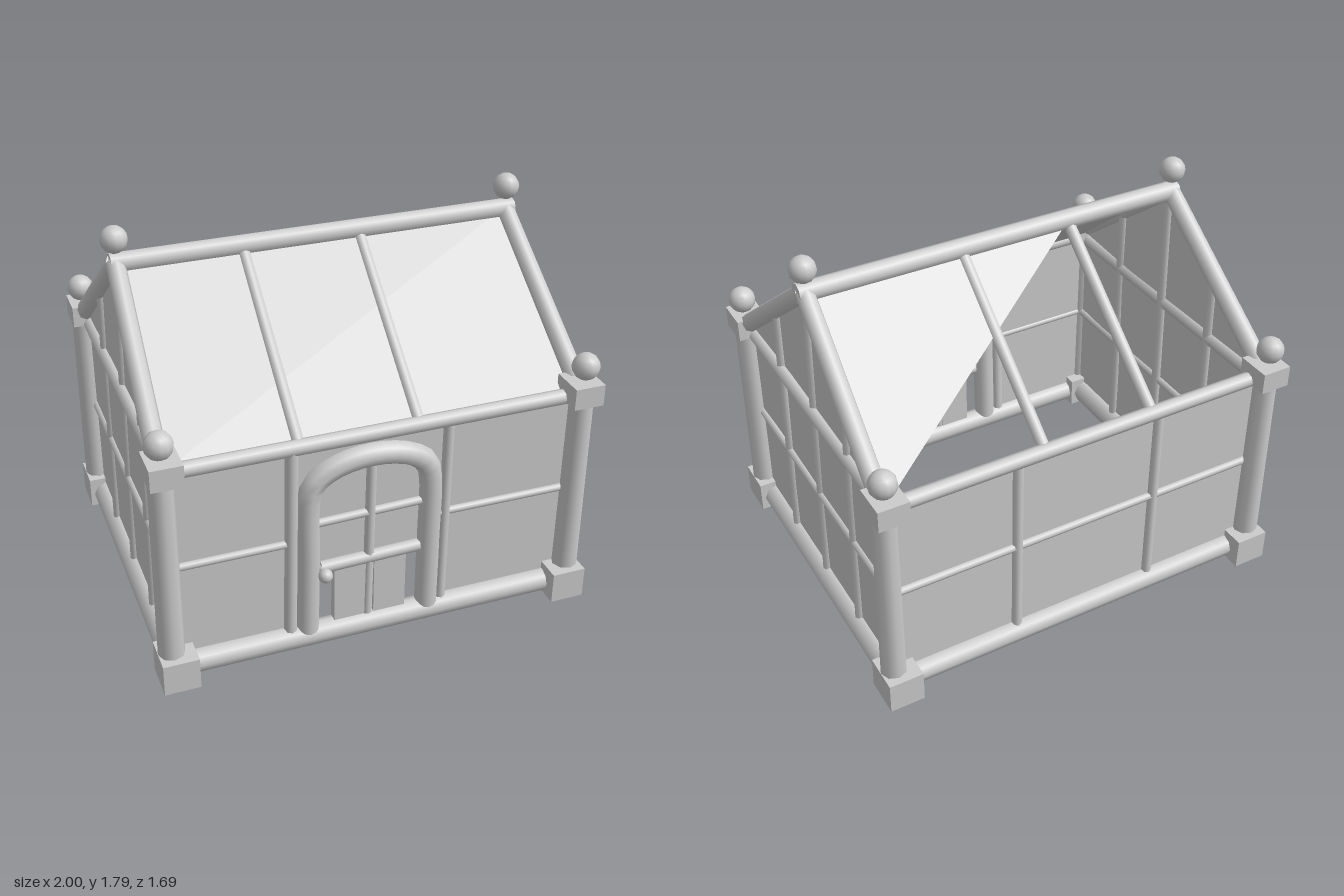
import * as THREE from 'three';

const mat = new THREE.MeshStandardMaterial({ color: 0xcccccc });
const glassMat = new THREE.MeshStandardMaterial({ color: 0xcccccc, side: THREE.DoubleSide });
const V = (x, y, z) => new THREE.Vector3(x, y, z);

export function createModel() {
  const root = new THREE.Group();

  function add(name, geo, material = mat) {
    const m = new THREE.Mesh(geo, material);
    m.name = name;
    root.add(m);
    return m;
  }
  // round bar between two points
  function bar(name, a, b, r, r2 = r) {
    const d = b.clone().sub(a);
    const m = add(name, new THREE.CylinderGeometry(r2, r, d.length(), 8));
    m.position.copy(a).add(b).multiplyScalar(0.5);
    m.quaternion.setFromUnitVectors(V(0, 1, 0), d.normalize());
    return m;
  }
  function block(name, w, h, d, x, y, z) {
    add(name, new THREE.BoxGeometry(w, h, d)).position.set(x, y, z);
  }
  function ball(name, r, x, y, z) {
    add(name, new THREE.SphereGeometry(r, 12, 8)).position.set(x, y, z);
  }
  // flat pane from a fan of corners
  function pane(name, pts) {
    const g = new THREE.BufferGeometry().setFromPoints(pts);
    const idx = [];
    for (let i = 1; i < pts.length - 1; i++) idx.push(0, i, i + 1);
    g.setIndex(idx);
    g.computeVertexNormals();
    add(name, g, glassMat);
  }

  const PX = 0.94, PZ = 0.755, WX = 0.92, WZ = 0.735, EAVE = 1.045, RIDGE = 1.64;
  const DX = -0.035; // door centre

  // corner posts with base blocks, caps and finials
  for (const sx of [-1, 1]) for (const sz of [-1, 1]) {
    bar('cornerPost', V(sx * PX, 0.1, sz * PZ), V(sx * PX, 1.06, sz * PZ), 0.06, 0.055);
    block('postBase', 0.16, 0.15, 0.18, sx * 0.92, 0.085, sz * 0.755);
    block('postCap', 0.14, 0.1, 0.16, sx * 0.93, 1.08, sz * 0.76);
    ball('cornerFinial', 0.062, sx * PX, 1.195, sz * 0.765);
  }

  // sills and eave beams, front and back
  for (const s of [-1, 1]) {
    bar('longSill', V(-PX, 0.07, s * WZ), V(PX, 0.07, s * WZ), 0.055);
    bar('eaveBeam', V(-PX, EAVE, s * WZ), V(PX, EAVE, s * WZ), 0.035);
    // inner rafters
    for (const x of [-0.35, 0.185])
      bar('rafter', V(x, EAVE, s * 0.72), V(x, 1.62, s * 0.01), 0.028);
  }
  bar('ridgeBeam', V(-0.93, RIDGE, 0), V(0.94, RIDGE, 0), 0.046);

  // gable ends
  for (const s of [-1, 1]) {
    const x = s * WX;
    bar('sideSill', V(x, 0.075, -PZ), V(x, 0.075, PZ), 0.06);
    bar('gableTie', V(x, 1.035, -PZ), V(x, 1.035, PZ), 0.033);
    bar('sideRail', V(x, 0.575, -PZ), V(x, 0.575, PZ), 0.02);
    for (const z of [-0.365, 0, 0.365])
      bar('gableMullion', V(x, 0.1, z), V(s * (z ? 0.91 : 0.9), z ? 1.34 : 1.62, z), 0.025);
    for (const sz of [-1, 1])
      bar('gableRafter', V(s * 0.935, 1.08, sz * 0.73), V(s * 0.905, RIDGE, 0), 0.045, 0.042);
    ball('ridgeFinial', 0.06, s * 0.905, 1.745, 0);
    pane('gableGlass', [V(x, 0.1, PZ), V(x, 0.1, -PZ), V(x, 1.05, -PZ),
      V(s * 0.9, RIDGE, 0), V(x, 1.05, PZ)]);
  }

  // back wall
  pane('backGlass', [V(WX, 0.1, -WZ), V(-WX, 0.1, -WZ), V(-WX, EAVE, -WZ), V(WX, EAVE, -WZ)]);
  bar('backRail', V(-PX, 0.575, -WZ), V(PX, 0.575, -WZ), 0.02);
  for (const x of [-0.38, 0.32])
    bar('backMullion', V(x, 0.1, -WZ), V(x, EAVE, -WZ), 0.025);

  // roof: whole front slope, part-glazed back slope
  pane('frontRoofGlass', [V(-0.92, EAVE, 0.73), V(0.92, EAVE, 0.73), V(0.9, RIDGE, 0), V(-0.9, RIDGE, 0)]);
  pane('backRoofGlass', [V(0.9, RIDGE, 0), V(0.92, EAVE, -0.73), V(-0.36, RIDGE, 0)]);

  // front wall glass around an arched doorway
  const wall = new THREE.Shape([[-WX, 0.1], [WX, 0.1], [WX, EAVE], [-WX, EAVE]].map(p => new THREE.Vector2(...p)));
  const hole = new THREE.Path();
  hole.moveTo(DX - 0.27, 0.11);
  hole.lineTo(DX - 0.27, 0.8);
  hole.absellipse(DX, 0.8, 0.27, 0.145, Math.PI, 0, true);
  hole.lineTo(DX + 0.27, 0.11);
  wall.holes.push(hole);
  add('frontGlass', new THREE.ShapeGeometry(wall, 12), glassMat).position.z = 0.725;
  bar('frontMullion', V(-0.4, 0.1, WZ), V(-0.385, EAVE, WZ), 0.03);
  bar('frontMullion', V(0.315, 0.1, WZ), V(0.32, EAVE, WZ), 0.025);
  bar('frontRail', V(-PX, 0.575, WZ), V(-0.37, 0.575, WZ), 0.018);
  bar('frontRail', V(0.27, 0.575, WZ), V(PX, 0.57, WZ), 0.018);

  // arched door frame
  const path = [V(DX - 0.285, 0.1, 0), V(DX - 0.28, 0.45, 0)];
  for (let i = 0; i <= 8; i++) {
    const a = Math.PI * (1 - i / 8);
    path.push(V(DX + 0.275 * Math.cos(a), 0.8 + 0.145 * Math.sin(a), 0));
  }
  path.push(V(DX + 0.28, 0.45, 0), V(DX + 0.28, 0.1, 0));
  add('doorFrame', new THREE.TubeGeometry(new THREE.CatmullRomCurve3(path), 40, 0.053, 8)).position.z = WZ;

  // door bars, glazing, lower panels and knob
  bar('doorCentreBar', V(DX - 0.005, 0.12, WZ), V(DX + 0.005, 0.91, WZ), 0.024);
  bar('doorUpperBar', V(-0.28, 0.65, WZ), V(0.21, 0.66, WZ), 0.02);
  bar('doorMiddleBar', V(-0.26, 0.415, WZ), V(0.2, 0.425, WZ), 0.03);
  pane('doorGlass', [V(-0.28, 0.42, 0.72), V(0.2, 0.42, 0.72), V(0.2, 0.84, 0.72),
    V(0.1, 0.92, 0.72), V(-0.17, 0.92, 0.72), V(-0.28, 0.84, 0.72)]);
  for (const x of [-0.125, 0.06])
    block('doorPanel', 0.15, 0.29, 0.04, x, 0.265, 0.73);
  bar('knobStem', V(-0.26, 0.415, 0.73), V(-0.26, 0.415, 0.8), 0.014);
  ball('doorKnob', 0.032, -0.26, 0.415, 0.8);

  return root;
}
